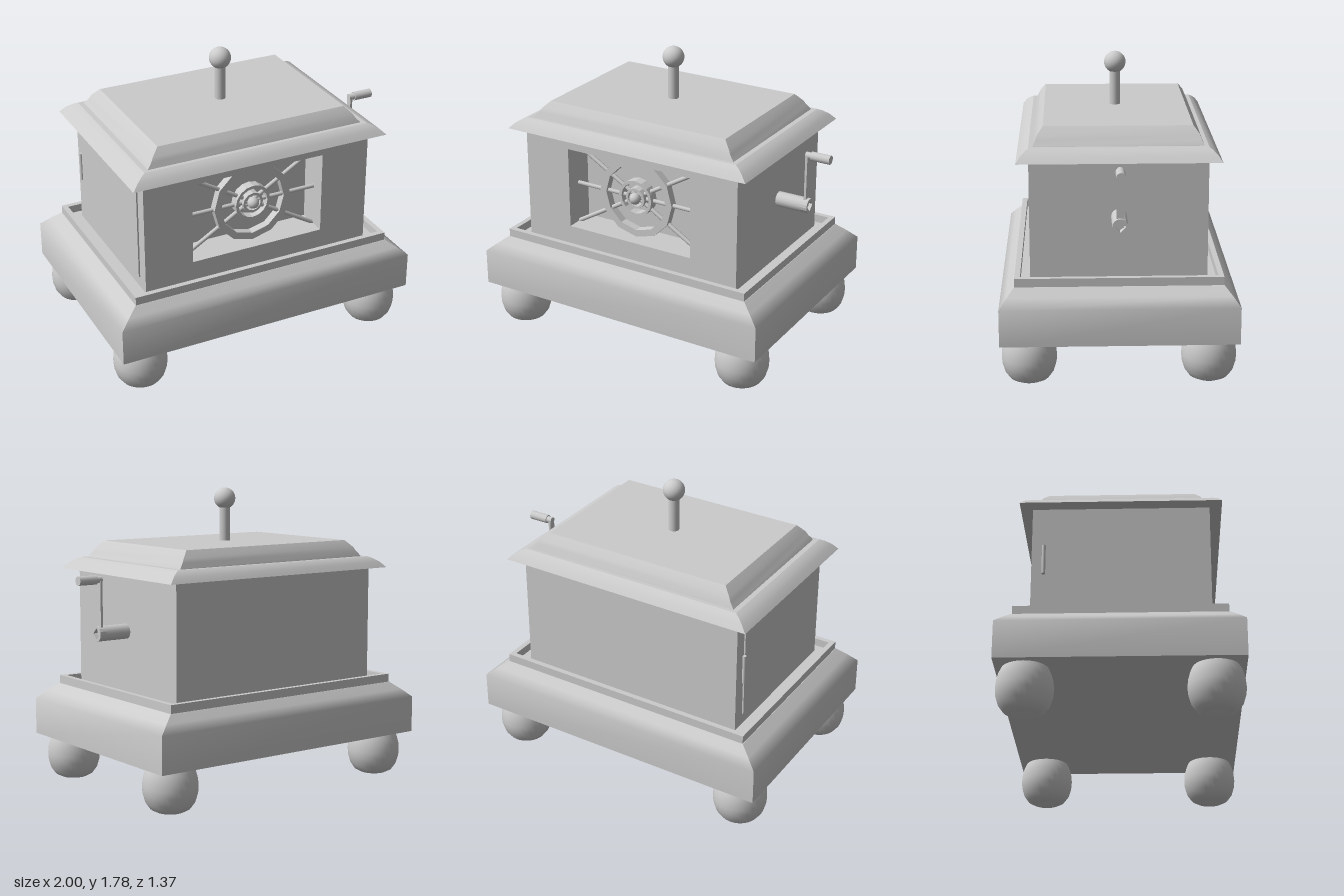
import * as THREE from 'three';

const grey = new THREE.MeshStandardMaterial({ color: 0xcccccc, side: THREE.DoubleSide });
const CX = -0.05; // middle of the box, the crank sticks out beyond it

function add(parent, name, geometry, x = 0, y = 0, z = 0) {
  const mesh = new THREE.Mesh(geometry, grey);
  mesh.name = name;
  mesh.position.set(x, y, z);
  parent.add(mesh);
  return mesh;
}

// Rectangular moulding: profile rows are [half width, height, half depth], mitred at the corners.
// Each side is smooth along its profile; repeat a row for a sharp edge.
function moulding(profile) {
  const signs = [[-1, 1], [1, 1], [1, -1], [-1, -1]];
  const pos = [], index = [];
  const quad = (a, b, c, d) => index.push(a, b, c, a, c, d);
  for (let s = 0; s < 4; s++) {
    const p = signs[s], q = signs[(s + 1) % 4];
    const start = pos.length / 3;
    profile.forEach(([w, y, d], i) => {
      pos.push(p[0] * w, y, p[1] * d, q[0] * w, y, q[1] * d);
      if (i) {
        const k = start + 2 * i;
        quad(k - 2, k - 1, k + 1, k);
      }
    });
  }
  // flat top and bottom
  for (const [row, up] of [[profile[profile.length - 1], true], [profile[0], false]]) {
    const k = pos.length / 3;
    for (const [sx, sz] of signs) pos.push(sx * row[0], row[1], sz * row[2]);
    if (up) quad(k, k + 1, k + 2, k + 3);
    else quad(k + 3, k + 2, k + 1, k);
  }
  const g = new THREE.BufferGeometry();
  g.setAttribute('position', new THREE.Float32BufferAttribute(pos, 3));
  g.setIndex(index);
  g.computeVertexNormals();
  return g;
}

function outline(points) {
  return points.map(([x, y]) => new THREE.Vector2(x, y));
}

function rect(x0, y0, x1, y1) {
  return outline([[x0, y0], [x1, y0], [x1, y1], [x0, y1]]);
}

function polygon(r, sides) {
  return Array.from({ length: sides }, (_, i) => {
    const a = (i / sides) * Math.PI * 2;
    return new THREE.Vector2(r * Math.cos(a), r * Math.sin(a));
  });
}

// Outline with a hole, extruded along z
function frame(outer, inner, depth) {
  const shape = new THREE.Shape(outer);
  shape.holes.push(new THREE.Path(inner));
  return new THREE.ExtrudeGeometry(shape, { depth, bevelEnabled: false });
}

function cylinderX(r, length, sides = 16) {
  return new THREE.CylinderGeometry(r, r, length, sides).rotateZ(Math.PI / 2);
}

function makeWheel() {
  const wheel = new THREE.Group();
  wheel.name = 'wheelGrille';
  // spokes run to the window's corners and the middle of its sides
  for (const [name, rise] of [['levelSpoke', 0], ['risingSpoke', 0.505], ['fallingSpoke', -0.505]]) {
    const spoke = add(wheel, name, cylinderX(0.013, Math.hypot(0.845, rise), 8));
    spoke.rotation.z = Math.atan2(rise, 0.845);
  }
  add(wheel, 'outerRing', frame(polygon(0.25, 12), polygon(0.207, 12), 0.05), 0, 0, -0.025);
  add(wheel, 'middleRing', frame(polygon(0.113, 16), polygon(0.095, 16), 0.06), 0, 0, -0.03);
  add(wheel, 'innerRing', frame(polygon(0.065, 12), polygon(0.05, 12), 0.06), 0, 0, -0.03);
  add(wheel, 'hubPin', new THREE.CylinderGeometry(0.02, 0.02, 0.08, 12).rotateX(Math.PI / 2), 0, 0, 0);
  add(wheel, 'hubBall', new THREE.SphereGeometry(0.035, 16, 12), 0, 0, 0.03);
  return wheel;
}

function makeCrank() {
  const crank = new THREE.Group();
  crank.name = 'crank';
  add(crank, 'axle', cylinderX(0.045, 0.165), 0.7525, 0.96, 0);
  // axle end with a square socket
  add(crank, 'axleSocket', frame(polygon(0.045, 16), polygon(0.034, 4), 0.045).rotateY(Math.PI / 2), 0.835, 0.96, 0);
  add(crank, 'arm', new THREE.BoxGeometry(0.014, 0.33, 0.04), 0.855, 1.115, 0);
  add(crank, 'gripPin', cylinderX(0.02, 0.05), 0.87, 1.275, 0);
  add(crank, 'grip', cylinderX(0.027, 0.12), 0.94, 1.275, 0);
  return crank;
}

export function createModel() {
  const model = new THREE.Group();
  model.name = 'crankBox';

  // Bun feet
  const footProfile = outline([[0, 0.025], [0.025, 0.018], [0.04, 0.002], [0.08, 0], [0.115, 0.018],
    [0.142, 0.055], [0.157, 0.105], [0.16, 0.145], [0.156, 0.19], [0.145, 0.23], [0.13, 0.262]]);
  const footGeometry = new THREE.LatheGeometry(footProfile, 32);
  for (const sx of [-1, 1]) {
    for (const sz of [-1, 1]) add(model, 'foot', footGeometry, CX + sx * 0.78, 0, sz * 0.52);
  }

  // Plinth with a sloped shoulder and a raised lip around the top
  add(model, 'plinth', moulding([[0.95, 0.26, 0.685], [0.95, 0.48, 0.685], [0.89, 0.53, 0.643], [0.83, 0.575, 0.6]]), CX);
  const lip = frame(rect(-0.827, -0.598, 0.827, 0.598), rect(-0.795, -0.566, 0.795, 0.566), 0.05);
  add(model, 'plinthLip', lip.rotateX(-Math.PI / 2), CX, 0.575, 0);

  // Body: solid rear and a front with a recessed window
  add(model, 'bodyRear', new THREE.BoxGeometry(1.452, 0.725, 0.82), CX, 0.9325, -0.1);
  const front = frame(rect(-0.726, 0.57, 0.726, 1.295), rect(-0.425, 0.706, 0.42, 1.211), 0.2);
  add(model, 'bodyFront', front, CX, 0, 0.31);

  const wheel = makeWheel();
  wheel.position.set(CX, 0.96, 0.41);
  model.add(wheel);

  // Side door with its hinge
  add(model, 'door', new THREE.BoxGeometry(0.014, 0.635, 0.86), -0.778, 0.9625, 0);
  add(model, 'doorHinge', new THREE.CylinderGeometry(0.011, 0.011, 0.18, 12), -0.787, 0.96, -0.44);

  // Roof in two stepped mouldings
  add(model, 'eaves', moulding([[0.81, 1.29, 0.58], [0.775, 1.325, 0.555], [0.74, 1.347, 0.53],
    [0.712, 1.358, 0.51]]), CX);
  add(model, 'lid', moulding([[0.684, 1.35, 0.488], [0.68, 1.362, 0.485], [0.655, 1.39, 0.472],
    [0.64, 1.415, 0.462], [0.597, 1.458, 0.428]]), CX);

  // Knob on a rod
  add(model, 'knobRod', new THREE.CylinderGeometry(0.032, 0.032, 0.22, 24), CX, 1.56, 0);
  add(model, 'knobBall', new THREE.SphereGeometry(0.065, 32, 20), CX, 1.715, 0);

  model.add(makeCrank());
  return model;
}
